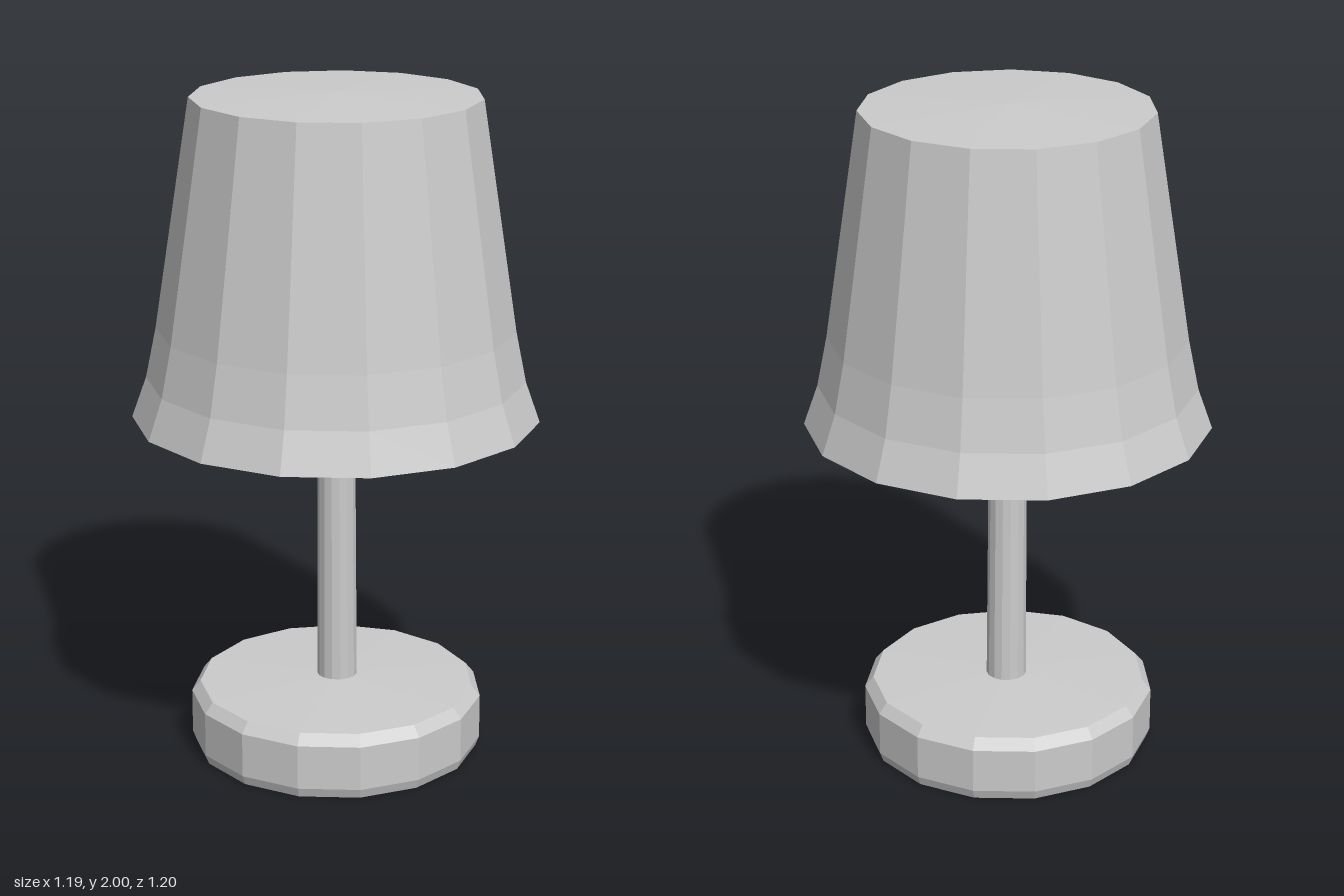
import * as THREE from 'three';

const SIDES = 15;

// Faceted solid of revolution; the centre line drifts in z from zBottom to zTop.
function turned(name, profile, zBottom, zTop) {
  const points = profile.map(([r, y]) => new THREE.Vector2(r, y));
  const geometry = new THREE.LatheGeometry(points, SIDES, Math.PI / 2);
  const yBottom = profile[0][1];
  const height = profile[profile.length - 1][1] - yBottom;
  const pos = geometry.attributes.position;
  for (let i = 0; i < pos.count; i++) {
    const t = (pos.getY(i) - yBottom) / height;
    pos.setZ(i, pos.getZ(i) + zBottom + (zTop - zBottom) * t);
  }
  geometry.computeVertexNormals();
  const material = new THREE.MeshStandardMaterial({ color: 0xcccccc, flatShading: true });
  const mesh = new THREE.Mesh(geometry, material);
  mesh.name = name;
  mesh.position.x = -0.009;
  return mesh;
}

export function createModel() {
  const lamp = new THREE.Group();
  lamp.name = 'tableLamp';

  // Bevelled foot with a slightly domed top
  lamp.add(turned('base', [
    [0, 0], [0.43, 0], [0.441, 0.03], [0.441, 0.165], [0.415, 0.197], [0, 0.21],
  ], 0, 0));

  // Slim pole, slightly tapered and leaning
  lamp.add(turned('pole', [
    [0, 0.18], [0.061, 0.18], [0.056, 1.06], [0, 1.06],
  ], -0.016, -0.002));

  // Closed shade with a flared hem and shallow domed top
  lamp.add(turned('shade', [
    [0, 1.045], [0.601, 1.045], [0.558, 1.165], [0.527, 1.315], [0.422, 1.988], [0, 2],
  ], 0, -0.008));

  return lamp;
}
